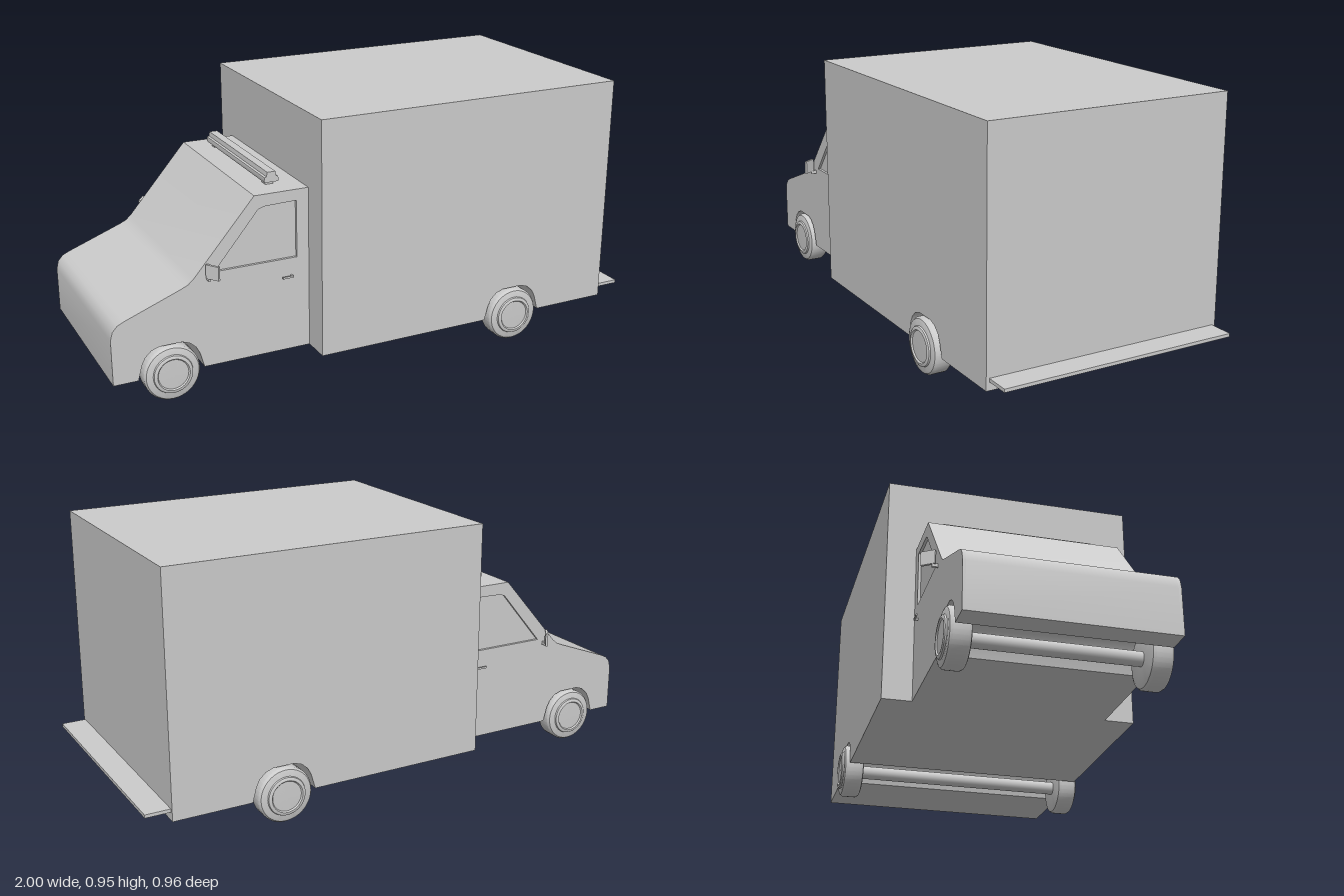
import * as THREE from 'three';
import { toCreasedNormals } from 'three/addons/utils/BufferGeometryUtils.js';

const material = new THREE.MeshStandardMaterial({ color: 0xcccccc });
const AXLES = { front: { x: -0.795, z: 0.3225 }, rear: { x: 0.505, z: 0.4325 } };
const HUB_Y = 0.105;

function add(parent, name, geometry, x = 0, y = 0, z = 0) {
  const mesh = new THREE.Mesh(geometry, material);
  mesh.name = name;
  mesh.position.set(x, y, z);
  parent.add(mesh);
  return mesh;
}

const box = (w, h, d) => new THREE.BoxGeometry(w, h, d);
const shapeOf = (points) => new THREE.Shape(points.map(([x, y]) => new THREE.Vector2(x, y)));

// Side profile extruded across the vehicle between two z values
function slab(shape, z0, z1) {
  const geometry = new THREE.ExtrudeGeometry(shape, { depth: z1 - z0, bevelEnabled: false, curveSegments: 8 });
  return toCreasedNormals(geometry.translate(0, 0, z0), 0.5);
}

// Wheel arch outline, running from -x to +x
const arch = (x) => [
  [-0.118, 0.1], [-0.103, 0.155], [-0.09, 0.18], [-0.068, 0.2], [-0.04, 0.21],
  [0.04, 0.21], [0.068, 0.2], [0.09, 0.18], [0.103, 0.155], [0.118, 0.1],
].map(([dx, y]) => [x + dx, y]);

function buildCab(parent) {
  const profile = () => shapeOf([
    [-1, 0.1], ...arch(AXLES.front.x), [-0.28, 0.1], [-0.28, 0.69], [-0.48, 0.69],
    [-0.705, 0.43], [-0.725, 0.413], [-0.75, 0.402],
    [-0.95, 0.326], [-0.975, 0.314], [-0.992, 0.295], [-1, 0.265],
  ]);
  const cab = new THREE.Group();
  cab.name = 'cab';
  parent.add(cab);
  add(cab, 'cabBody', slab(profile(), -0.337, 0.337));

  // Side skins with window openings
  const skin = profile();
  skin.holes.push(new THREE.Path([
    [-0.63, 0.443], [-0.465, 0.641], [-0.44, 0.647], [-0.325, 0.65], [-0.325, 0.443],
  ].map(([x, y]) => new THREE.Vector2(x, y))));
  add(cab, 'leftSkin', slab(skin, 0.337, 0.347));
  add(cab, 'rightSkin', slab(skin, -0.347, -0.337));

  for (const s of [1, -1]) {
    const side = s > 0 ? 'left' : 'right';
    // Door handle
    add(cab, side + 'HandleGrip', box(0.04, 0.007, 0.005), -0.365, 0.378, s * 0.36);
    add(cab, side + 'HandleMount', box(0.006, 0.007, 0.016), -0.348, 0.378, s * 0.353);
    // Wing mirror, swept out and back
    const mirror = add(cab, side + 'Mirror', box(0.009, 0.05, 0.052), -0.647, 0.455, s * 0.378);
    mirror.rotation.y = s * 0.6;
    add(cab, side + 'MirrorArm', box(0.008, 0.012, 0.026), -0.655, 0.426, s * 0.355);
    add(cab, side + 'MirrorPost', box(0.008, 0.02, 0.006), -0.655, 0.43, s * 0.365);
  }
}

function buildLightBar(parent) {
  const bar = new THREE.Group();
  bar.name = 'lightBar';
  parent.add(bar);
  const outline = shapeOf([
    [-0.41, 0.703], [-0.36, 0.703], [-0.358, 0.71], [-0.36, 0.721], [-0.367, 0.724], [-0.37, 0.74],
    [-0.4, 0.74], [-0.403, 0.724], [-0.41, 0.721], [-0.412, 0.71],
  ]);
  add(bar, 'lightHousing', slab(outline, -0.275, 0.275));
  for (const z of [-0.24, 0.24]) add(bar, 'lightFoot', box(0.03, 0.016, 0.03), -0.385, 0.696, z);
}

function buildWheels(parent) {
  const lathe = (points) => toCreasedNormals(
    new THREE.LatheGeometry(points.map(([r, y]) => new THREE.Vector2(r, y)), 40), 0.6);
  const tyre = lathe([
    [0, -0.0375], [0.085, -0.0375], [0.094, -0.034], [0.1, -0.025], [0.1, 0.025],
    [0.094, 0.034], [0.085, 0.0375], [0, 0.0375],
  ]);
  const rim = lathe([
    [0.072, 0.035], [0.069, 0.043], [0.064, 0.046], [0.058, 0.046], [0.054, 0.041], [0, 0.043],
  ]);
  const shaft = new THREE.CylinderGeometry(0.025, 0.025, 1, 24);

  for (const [end, { x, z }] of Object.entries(AXLES)) {
    const axle = add(parent, end + 'Axle', shaft, x, HUB_Y, 0);
    axle.rotation.x = Math.PI / 2;
    axle.scale.y = 2 * z - 0.06;
    for (const s of [1, -1]) {
      const wheel = new THREE.Group();
      wheel.name = end + (s > 0 ? 'Left' : 'Right') + 'Wheel';
      wheel.position.set(x, HUB_Y, s * z);
      wheel.rotation.x = s * Math.PI / 2;
      add(wheel, 'tyre', tyre);
      add(wheel, 'rim', rim);
      parent.add(wheel);
    }
  }
}

export function createModel() {
  const model = new THREE.Group();
  model.name = 'boxVan';

  // Cargo box with the rear wheel channel cut through it
  const cargo = shapeOf([[-0.28, 0.1], ...arch(AXLES.rear.x), [0.91, 0.1], [0.91, 0.955], [-0.28, 0.955]]);
  add(model, 'cargoBox', slab(cargo, -0.454, 0.454));
  add(model, 'rearStep', box(0.09, 0.012, 0.886), 0.955, 0.136, 0);

  buildCab(model);
  buildLightBar(model);
  buildWheels(model);
  return model;
}
